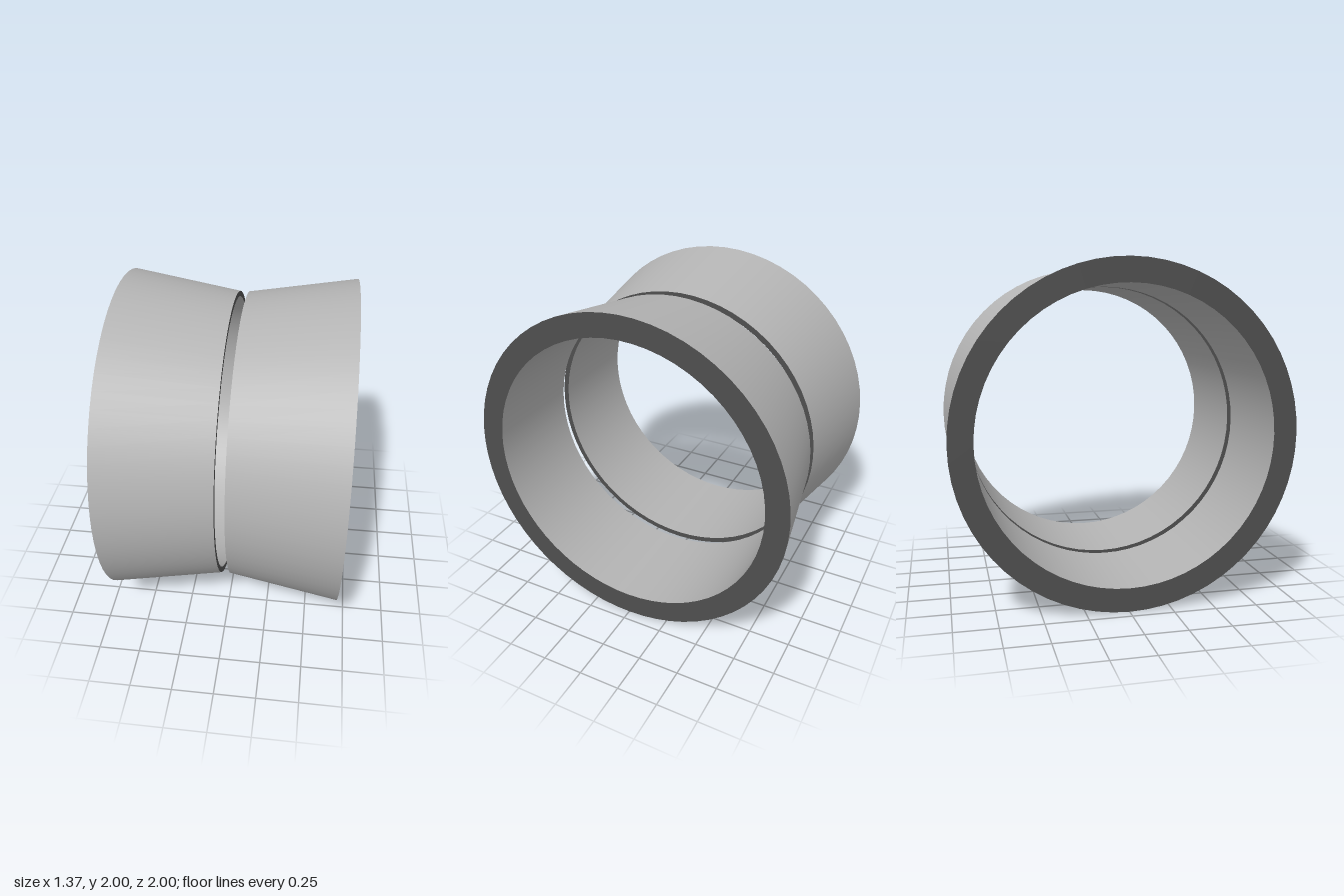
import * as THREE from 'three';

const SEGMENTS = 64;
const OUTER_X = 0.686, INNER_X = 0.03;      // ends of each ring along x
const WIDE_R = 1, NARROW_R = 0.893, BORE_R = 0.86;

export function createModel() {
  const lightGrey = new THREE.MeshStandardMaterial({ color: 0xb4b4b4 });
  lightGrey.name = 'light grey';
  const darkGrey = new THREE.MeshStandardMaterial({ color: 0x4e4e4e });
  darkGrey.name = 'dark grey';

  // Surface of revolution between two [radius, height] points
  const band = (name, from, to, material) => {
    const points = [from, to].map(([r, h]) => new THREE.Vector2(r, h));
    const mesh = new THREE.Mesh(new THREE.LatheGeometry(points, SEGMENTS), material);
    mesh.name = name;
    return mesh;
  };

  // One hollow ring: tapered outside, straight bore, flat end faces
  const makeRing = (name, side) => {
    const ring = new THREE.Group();
    ring.name = name;
    ring.add(
      band('taperedWall', [NARROW_R, INNER_X], [WIDE_R, OUTER_X], lightGrey),
      band('wideRim', [WIDE_R, OUTER_X], [BORE_R, OUTER_X], darkGrey),
      band('bore', [BORE_R, OUTER_X], [BORE_R, INNER_X], lightGrey),
      band('narrowRim', [BORE_R, INNER_X], [NARROW_R, INNER_X], darkGrey),
    );
    ring.rotation.z = -side * Math.PI / 2; // lathe axis onto +x or -x
    ring.position.y = WIDE_R;
    return ring;
  };

  const model = new THREE.Group();
  model.name = 'taperedRingPair';
  model.add(makeRing('leftRing', 1), makeRing('rightRing', -1));
  return model;
}
